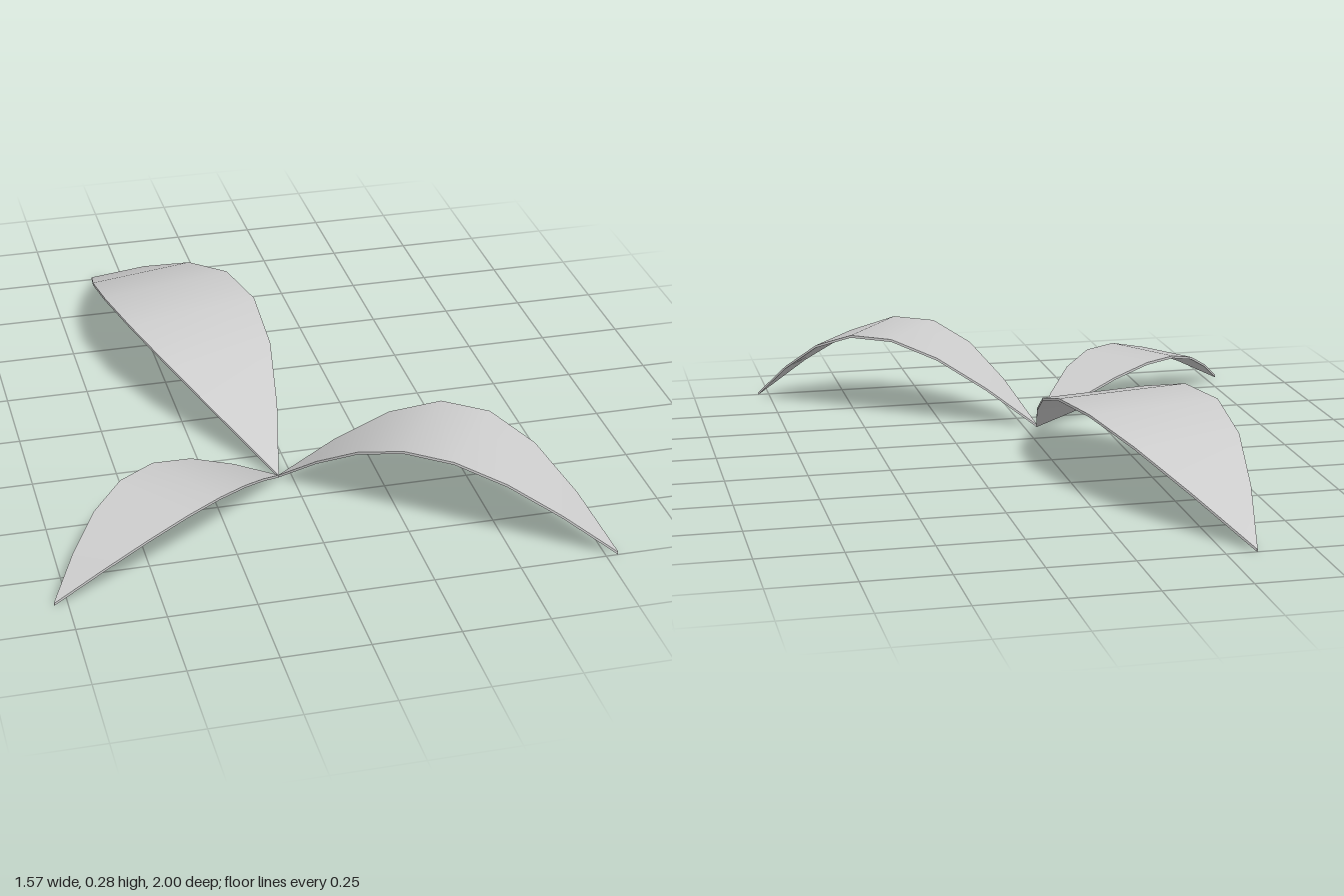
import * as THREE from 'three';
import { toCreasedNormals } from 'three/addons/utils/BufferGeometryUtils.js';

const SEGMENTS = 7;
const THICKNESS = 0.008;
const BASE = new THREE.Vector2(-0.04, 0.382); // shared stem point (x, z)

// Thin arched leaf along +z: width and height both follow a sine over the length
function leafGeometry(length, arch) {
  const positions = [];
  const index = [];
  for (let i = 0; i <= SEGMENTS; i++) {
    const t = i / SEGMENTS;
    const s = Math.sin(Math.PI * t);
    const w = Math.max(0.1525 * length * s, 0.001);
    const y = arch * s;
    const z = length * t;
    positions.push(w, y, z, w, y + THICKNESS, z, -w, y + THICKNESS, z, -w, y, z);
  }
  for (let i = 0; i < SEGMENTS; i++) {
    for (let j = 0; j < 4; j++) {
      const a = i * 4 + j;
      const b = i * 4 + (j + 1) % 4;
      index.push(a, b, b + 4, a, b + 4, a + 4);
    }
  }
  // End caps
  const e = SEGMENTS * 4;
  index.push(0, 2, 1, 0, 3, 2, e, e + 1, e + 2, e, e + 2, e + 3);

  const geometry = new THREE.BufferGeometry();
  geometry.setAttribute('position', new THREE.Float32BufferAttribute(positions, 3));
  geometry.setIndex(index);
  return toCreasedNormals(geometry, 0.8);
}

export function createModel() {
  const group = new THREE.Group();
  group.name = 'threeLeafPlant';
  const material = new THREE.MeshStandardMaterial({ color: 0xcccccc, side: THREE.DoubleSide });

  // Each leaf runs from the shared base to its own tip (x, z)
  const leaves = [
    { name: 'backLeaf', tip: [-0.338, -1], arch: 0.26 },
    { name: 'leftLeaf', tip: [0.785, 0.998], arch: 0.279 },
    { name: 'rightLeaf', tip: [-0.788, 0.877], arch: 0.163 },
  ];
  for (const { name, tip, arch } of leaves) {
    const along = new THREE.Vector2(...tip).sub(BASE);
    const leaf = new THREE.Mesh(leafGeometry(along.length(), arch), material);
    leaf.name = name;
    leaf.position.set(BASE.x, 0, BASE.y);
    leaf.rotation.y = Math.atan2(along.x, along.y);
    group.add(leaf);
  }
  return group;
}
